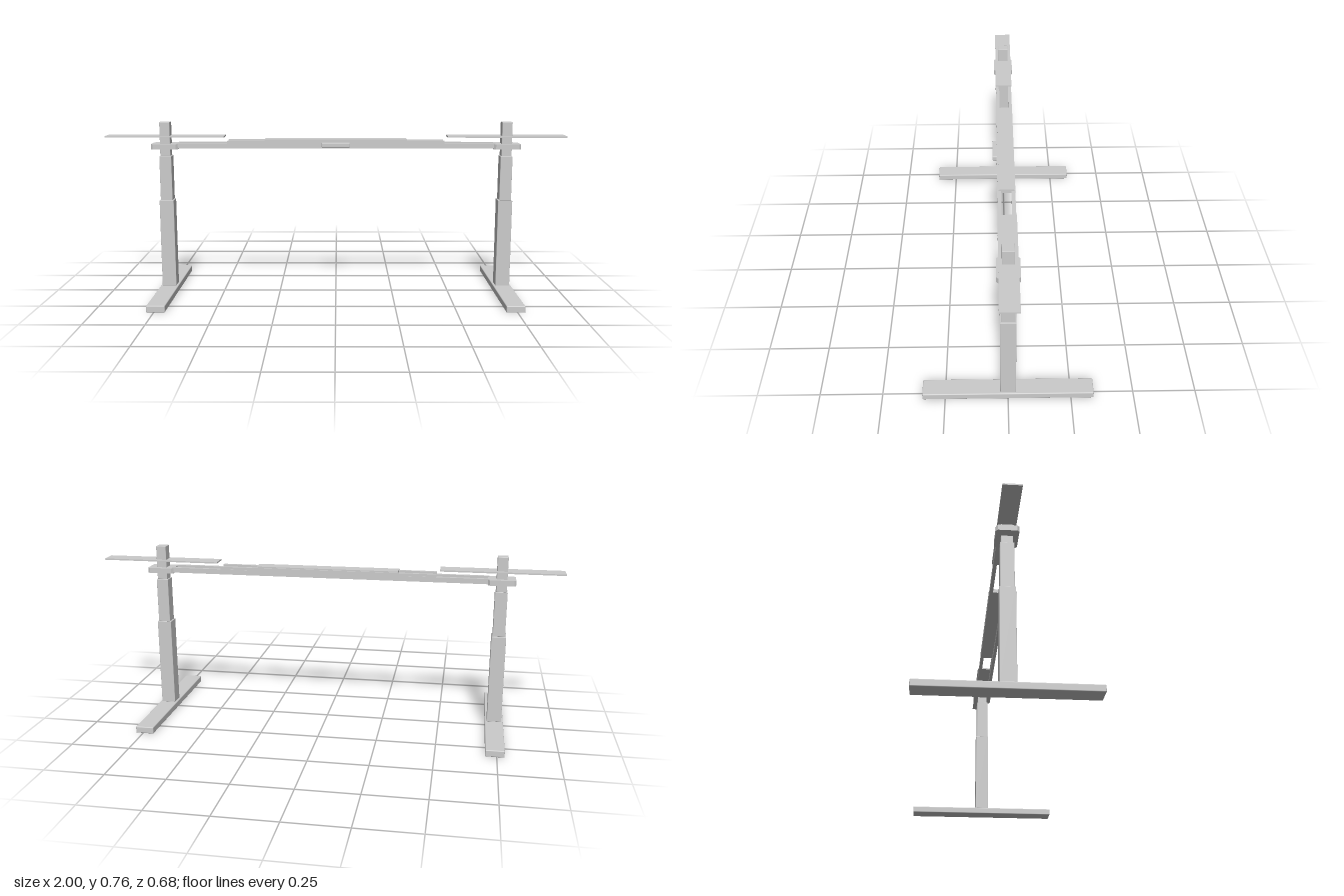
import * as THREE from 'three';
import { RoundedBoxGeometry } from 'three/addons/geometries/RoundedBoxGeometry.js';

const material = new THREE.MeshStandardMaterial({ color: 0xcccccc });

// Box given by its extents on each axis; a radius rounds the edges
function block(parent, name, [x0, x1], [y0, y1], [z0, z1], radius = 0) {
  const size = [x1 - x0, y1 - y0, z1 - z0];
  const geometry = radius
    ? new RoundedBoxGeometry(...size, 2, radius)
    : new THREE.BoxGeometry(...size);
  const mesh = new THREE.Mesh(geometry, material);
  mesh.name = name;
  mesh.position.set((x0 + x1) / 2, (y0 + y1) / 2, (z0 + z1) / 2);
  parent.add(mesh);
}

// Square column stage, centred on its leg
function stage(parent, name, halfX, halfZ, y0, y1) {
  block(parent, name, [-halfX, halfX], [y0, y1], [-halfZ, halfZ], 0.002);
}

// Telescoping leg with foot, clamp bracket and top support
function createLeg(side) {
  const leg = new THREE.Group();
  leg.name = side > 0 ? 'leftLeg' : 'rightLeg';
  leg.position.x = side * 0.742;
  block(leg, 'foot', [-0.039, 0.039], [0, 0.029], [-0.34, 0.34], 0.004);
  stage(leg, 'lowerColumn', 0.031, 0.031, 0.029, 0.415);
  stage(leg, 'middleColumn', 0.026, 0.027, 0.415, 0.609);
  stage(leg, 'innerColumn', 0.022, 0.023, 0.609, 0.757);

  // Clamp bracket with cut corners
  const a = 0.058, b = 0.044, c = 0.008;
  const outline = new THREE.Shape([
    [-a + c, -b], [a - c, -b], [a, -b + c], [a, b - c],
    [a - c, b], [-a + c, b], [-a, b - c], [-a, -b + c],
  ].map(([x, y]) => new THREE.Vector2(x, y)));
  const geometry = new THREE.ExtrudeGeometry(outline, { depth: 0.023, bevelEnabled: false });
  geometry.rotateX(-Math.PI / 2);
  const bracket = new THREE.Mesh(geometry, material);
  bracket.name = 'clampBracket';
  bracket.position.y = 0.64;
  leg.add(bracket);

  // Flat strip that carries the desktop
  const ends = [-0.258, 0.258];
  block(leg, 'topSupport', ends, [0.691, 0.697], [-0.037, 0.036]);
  return leg;
}

export function createModel() {
  const model = new THREE.Group();
  model.name = 'standingDeskFrame';
  for (const side of [-1, 1]) model.add(createLeg(side));

  // Crossbeam: paired long rails, shorter sliding rails and a cover
  const beam = new THREE.Group();
  beam.name = 'crossbeam';
  for (const side of [-1, 1]) {
    const span = (inner, outer) => (side > 0 ? [inner, outer] : [-outer, -inner]);
    block(beam, 'longRail', [-0.69, 0.69], [0.644, 0.666], span(0.022, 0.036));
    block(beam, 'slidingRail', [-0.47, 0.47], [0.666, 0.677], span(0.02, 0.034));
  }
  block(beam, 'coverPlate', [-0.308, 0.308], [0.677, 0.683], [-0.03, 0.03]);
  block(beam, 'coverBase', [-0.308, 0.308], [0.666, 0.678], [-0.036, 0.035]);
  model.add(beam);

  // Height control on the front of the beam
  block(model, 'controlBox', [-0.061, 0.061], [0.651, 0.67], [0.03, 0.054], 0.003);
  return model;
}
